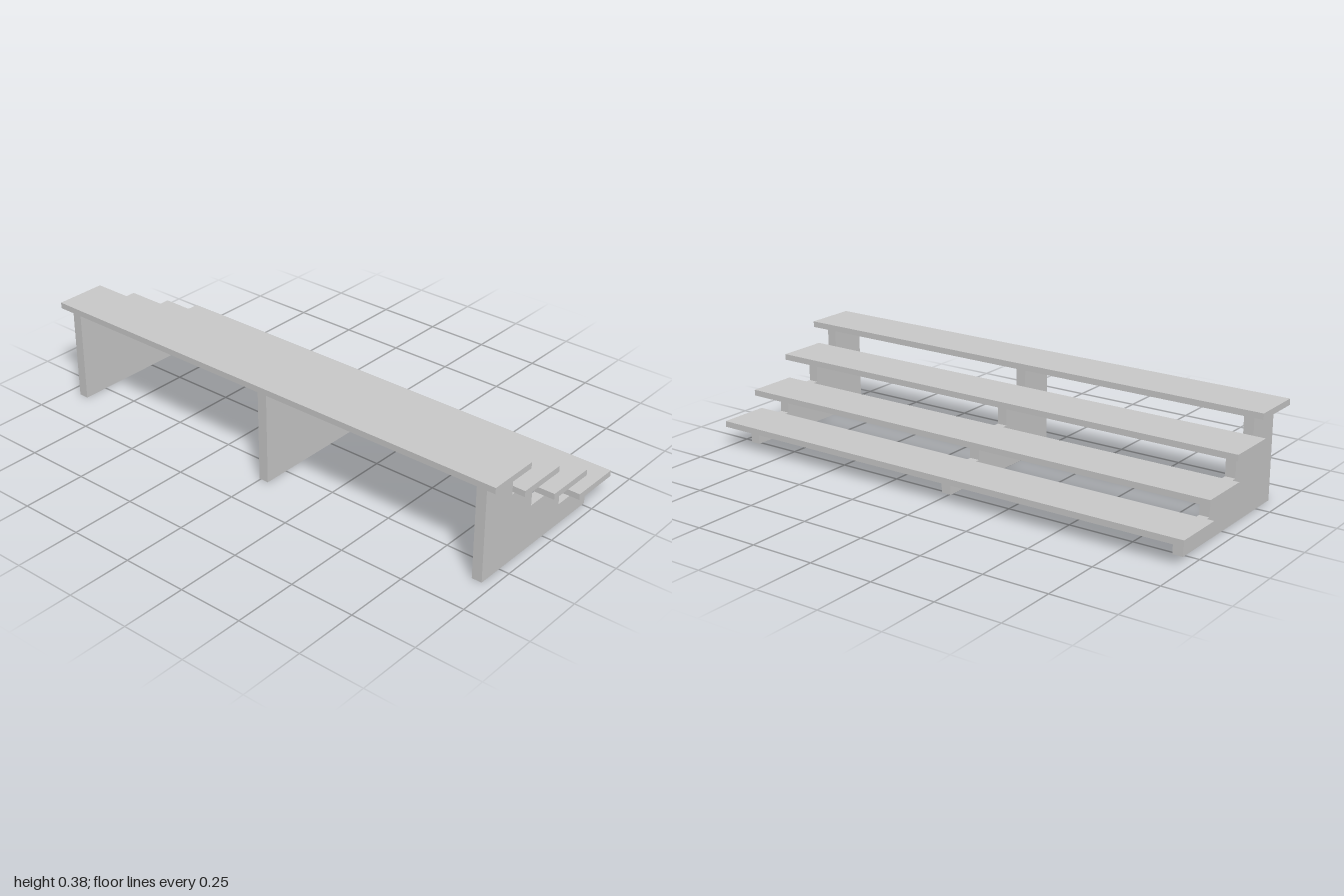
import * as THREE from 'three';

export function createModel() {
  const model = new THREE.Group();
  model.name = 'bleachers';
  const material = new THREE.MeshStandardMaterial({ color: 0xcccccc, flatShading: true });

  // Each tier: plank centre x, underside height, and where its support step ends
  const tiers = [
    { x: -0.26, y: 0.361, stepEnd: -0.201 },
    { x: -0.088, y: 0.265, stepEnd: -0.082 },
    { x: 0.094, y: 0.164, stepEnd: 0.092 },
    { x: 0.259, y: 0.081, stepEnd: 0.263 },
  ];

  // Full-length seat planks
  const plankThickness = 0.023;
  const plankGeometry = new THREE.BoxGeometry(0.199, plankThickness, 2);
  tiers.forEach(({ x, y }, i) => {
    const plank = new THREE.Mesh(plankGeometry, material);
    plank.name = `seatPlank${i + 1}`;
    plank.position.set(x, y + plankThickness / 2, 0);
    model.add(plank);
  });

  // Stepped support panel, profile drawn from the tiers
  const backX = -0.348;
  const profile = new THREE.Shape();
  profile.moveTo(backX, 0);
  profile.lineTo(tiers[tiers.length - 1].stepEnd, 0);
  for (let i = tiers.length - 1; i >= 0; i--) {
    profile.lineTo(tiers[i].stepEnd, tiers[i].y);
    profile.lineTo(i > 0 ? tiers[i - 1].stepEnd : backX, tiers[i].y);
  }
  profile.closePath();
  const depth = 0.039;
  const supportGeometry = new THREE.ExtrudeGeometry(profile, { depth, bevelEnabled: false });
  supportGeometry.translate(0, 0, -depth / 2);

  // Three supports along the length
  [0.941, 0.014, -0.927].forEach((z, i) => {
    const support = new THREE.Mesh(supportGeometry, material);
    support.name = `steppedSupport${i + 1}`;
    support.position.z = z;
    model.add(support);
  });

  return model;
}
